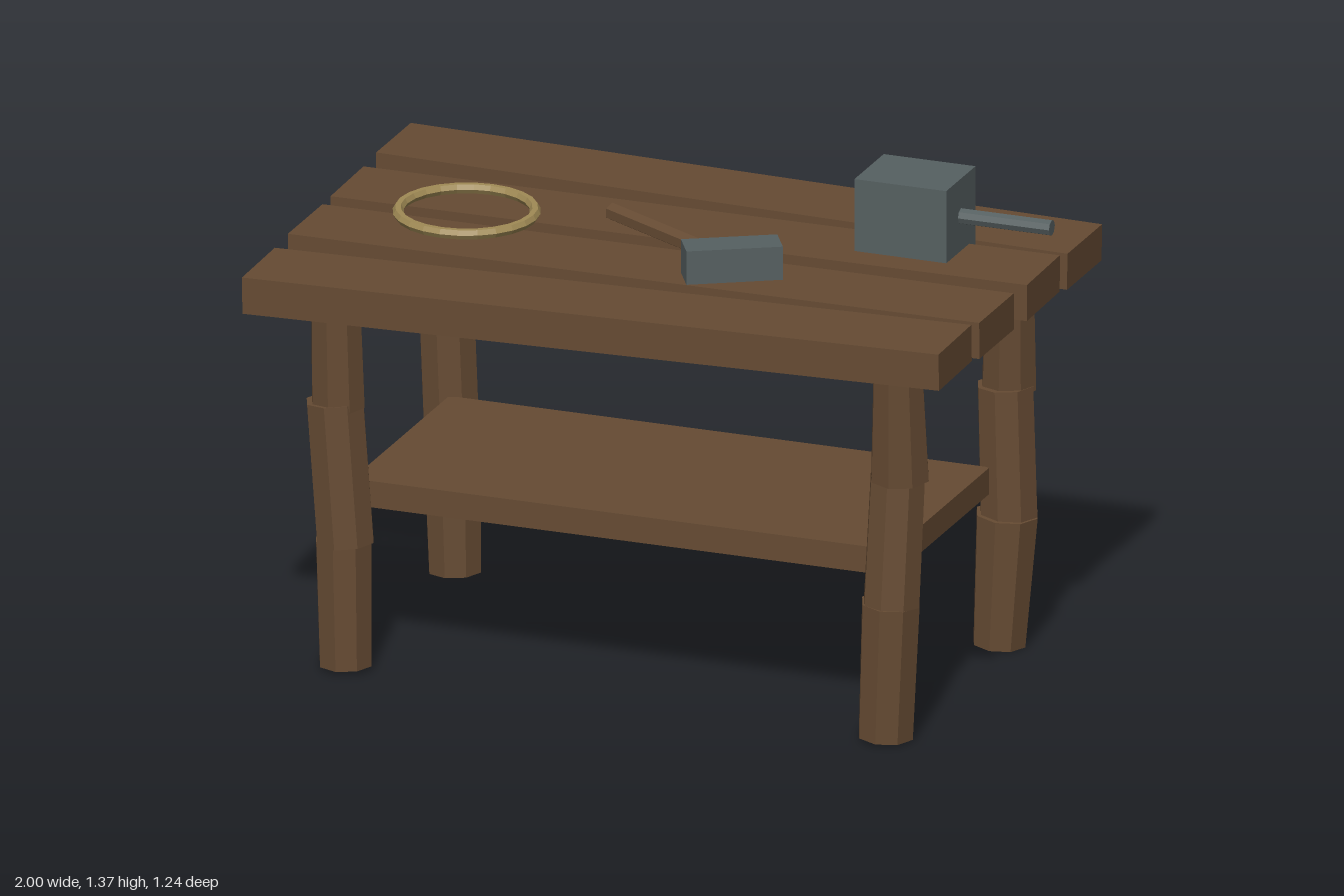
import * as THREE from 'three';

const mat = (name, color) => {
  const m = new THREE.MeshStandardMaterial({ color, flatShading: true });
  m.name = name;
  return m;
};

export function createModel() {
  const group = new THREE.Group();
  const wood = mat('brown wood', 0x664b33);
  const steel = mat('grey steel', 0x566061);
  const brass = mat('pale brass', 0xa08a55);

  const add = (name, geometry, material, parent = group) => {
    const mesh = new THREE.Mesh(geometry, material);
    mesh.name = name;
    parent.add(mesh);
    return mesh;
  };
  const box = (name, size, pos, material) => {
    const mesh = add(name, new THREE.BoxGeometry(...size), material);
    mesh.position.set(...pos);
    return mesh;
  };
  // Faceted rod between two points
  const rod = (name, a, b, ra, rb, sides, material, parent) => {
    const p = new THREE.Vector3(...a), q = new THREE.Vector3(...b);
    const dir = q.clone().sub(p);
    const mesh = add(name, new THREE.CylinderGeometry(rb, ra, dir.length(), sides), material, parent);
    mesh.position.copy(p).add(q).multiplyScalar(0.5);
    mesh.quaternion.setFromUnitVectors(new THREE.Vector3(0, 1, 0), dir.normalize());
    return mesh;
  };

  // Table top: four slightly crooked planks [centre y, centre z, yaw, roll]
  [
    [1.115, -0.4975, 0, -0.0145],
    [1.115, -0.176, 0.019, -0.003],
    [1.115, 0.149, 0, 0.003],
    [1.115, 0.4725, 0.02, 0.0135],
  ].forEach(([y, z, yaw, roll], i) => {
    const plank = box('plank' + (i + 1), [1.995, 0.103, 0.254], [0, y, z], wood);
    plank.rotation.set(0, yaw, roll);
  });

  // Lower shelf
  box('shelf', [1.56, 0.075, 0.71], [0, 0.4825, 0], wood);

  // Legs: three log segments each, [start, end, start radius, end radius]
  const legs = {
    frontRightLeg: [
      [[0.775, 0.005, 0.396], [0.792, 0.39, 0.402], 0.078, 0.083],
      [[0.795, 0.385, 0.405], [0.803, 0.75, 0.378], 0.08, 0.078],
      [[0.81, 0.74, 0.381], [0.815, 1.1, 0.41], 0.083, 0.069],
    ],
    frontLeftLeg: [
      [[-0.782, 0.008, 0.4], [-0.788, 0.36, 0.4], 0.075, 0.08],
      [[-0.783, 0.355, 0.4], [-0.815, 0.755, 0.395], 0.082, 0.082],
      [[-0.806, 0.74, 0.393], [-0.81, 1.1, 0.405], 0.076, 0.07],
    ],
    backRightLeg: [
      [[0.785, 0.002, -0.413], [0.808, 0.375, -0.412], 0.075, 0.088],
      [[0.81, 0.365, -0.42], [0.8, 0.74, -0.42], 0.082, 0.08],
      [[0.805, 0.73, -0.434], [0.82, 1.1, -0.402], 0.078, 0.068],
    ],
    backLeftLeg: [
      [[-0.785, 0.005, -0.41], [-0.795, 0.37, -0.415], 0.075, 0.083],
      [[-0.795, 0.36, -0.415], [-0.81, 0.74, -0.415], 0.08, 0.08],
      [[-0.833, 0.73, -0.42], [-0.805, 1.1, -0.405], 0.078, 0.07],
    ],
  };
  for (const [name, segments] of Object.entries(legs)) {
    const leg = new THREE.Group();
    leg.name = name;
    group.add(leg);
    segments.forEach(([a, b, ra, rb], i) => rod('segment' + (i + 1), a, b, ra, rb, 8, wood, leg));
  }

  // Metal ring
  const ring = add('ring', new THREE.TorusGeometry(0.185, 0.015, 6, 24), brass);
  ring.rotation.x = Math.PI / 2;
  ring.position.set(-0.543, 1.236, 0.12);

  // Hammer
  rod('hammerHandle', [-0.205, 1.21, -0.088], [0.235, 1.21, 0.16], 0.025, 0.025, 6, wood);
  box('hammerHead', [0.262, 0.1, 0.1], [0.24, 1.212, 0.165], steel).rotation.y = Math.PI / 6;

  // Vise block and bar
  box('viseBlock', [0.265, 0.24, 0.215], [0.603, 1.25, -0.256], steel);
  rod('viseBar', [0.65, 1.264, -0.256], [0.998, 1.264, -0.256], 0.022, 0.022, 8, steel);

  return group;
}
